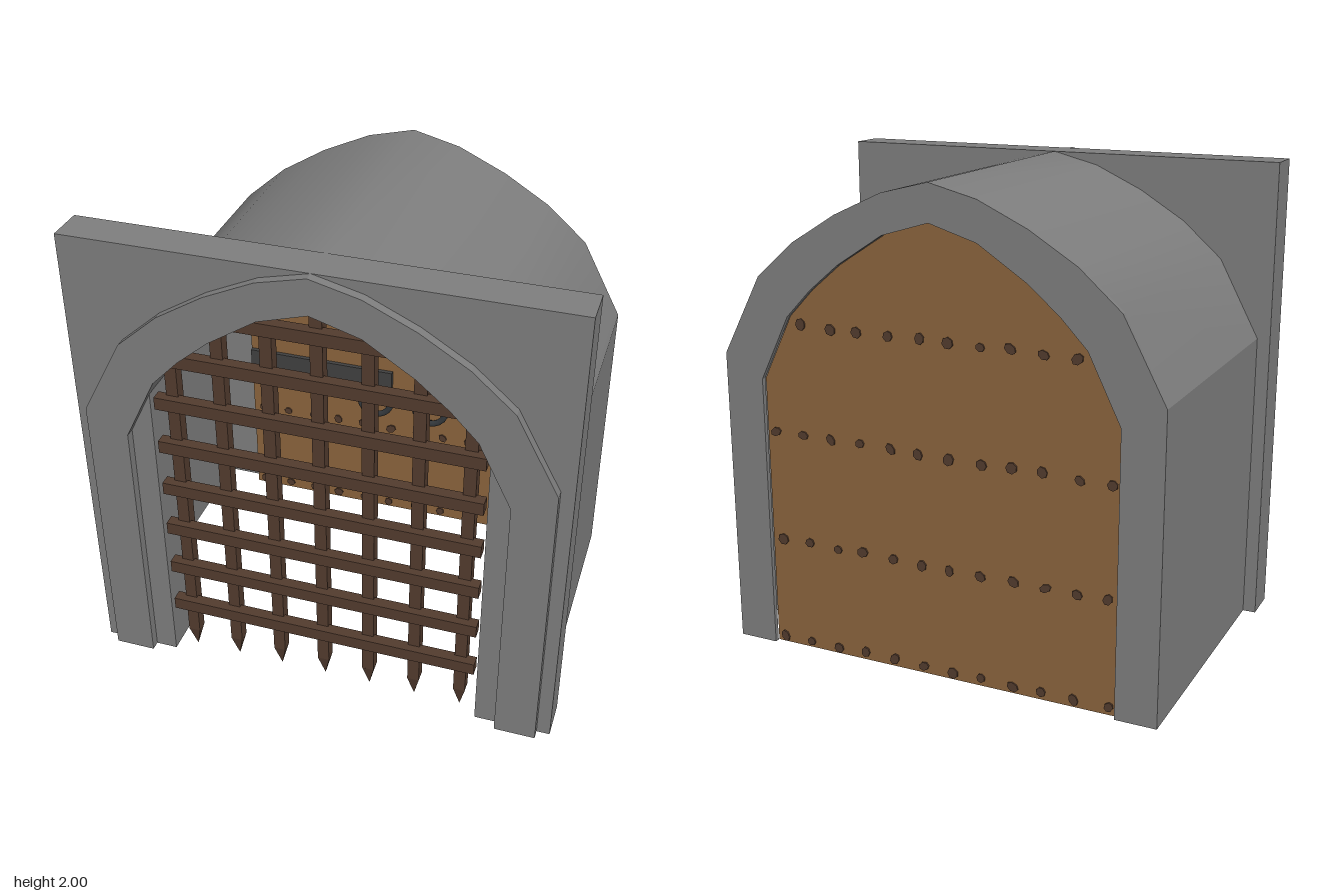
import * as THREE from 'three';

// Right half of the pointed arches, from spring line to apex
const OUTER = [[0.945, 1.257], [0.77, 1.585], [0.6, 1.735], [0.405, 1.855], [0.2, 1.95], [0, 2]];
const INNER = [[0.773, 1.165], [0.64, 1.435], [0.53, 1.55], [0.4, 1.66], [0.2, 1.79], [0, 1.85]];
const JAMB = [[0.68, 1.355], ...INNER.slice(1)];

const mirrorArch = (half) => [...half, ...half.slice(0, -1).reverse().map(([x, y]) => [-x, y])];
const closed = (half) => [[half[0][0], 0], ...mirrorArch(half), [-half[0][0], 0]];
const toShape = (pts) => new THREE.Shape(pts.map(([x, y]) => new THREE.Vector2(x, y)));

export function createModel() {
  const group = new THREE.Group();
  const mat = (name, color, side = THREE.FrontSide) => {
    const m = new THREE.MeshStandardMaterial({ color, side });
    m.name = name;
    return m;
  };
  const stone = mat('stone', 0x7d7d7d, THREE.DoubleSide);
  const wood = mat('doorWood', 0x8a633c);
  const barWood = mat('darkWood', 0x523b2e);
  const iron = mat('iron', 0x404040);
  const ringIron = mat('ringIron', 0x33383c);

  const add = (name, geo, material, x = 0, y = 0, z = 0) => {
    const m = new THREE.Mesh(geo, material);
    m.name = name;
    m.position.set(x, y, z);
    group.add(m);
    return m;
  };
  const slab = (name, pts, z0, z1, material) =>
    add(name, new THREE.ExtrudeGeometry(toShape(pts), { depth: z1 - z0, bevelEnabled: false }), material, 0, 0, z0);

  // Stone front wall, raised arch trim and back rim, all open at the bottom
  const opening = (half) => closed(half).reverse();
  slab('frontWall', [[-1, 0], [-1, 2], [1, 2], [1, 0], ...closed(JAMB)], 0.48, 0.64, stone);
  slab('frontArchTrim', [...closed(OUTER), ...opening(INNER)], 0.62, 0.68, stone);
  slab('backArchRim', [...closed(OUTER), ...opening(INNER)], -0.68, -0.66, stone);

  // Thin vault shell: smooth arch over two flat side walls
  const sheet = (name, pts) => {
    const pos = [], idx = [];
    pts.forEach(([x, y], i) => {
      pos.push(x, y, 0.5, x, y, -0.68);
      if (i) {
        const a = 2 * i - 2;
        idx.push(a, a + 1, a + 2, a + 1, a + 3, a + 2);
      }
    });
    const g = new THREE.BufferGeometry();
    g.setAttribute('position', new THREE.Float32BufferAttribute(pos, 3));
    g.setIndex(idx);
    g.computeVertexNormals();
    add(name, g, stone);
  };
  const [sideX, springY] = OUTER[0];
  sheet('vault', mirrorArch(OUTER));
  sheet('leftWall', [[sideX, 0], [sideX, springY]]);
  sheet('rightWall', [[-sideX, springY], [-sideX, 0]]);

  // Wooden door closing the back of the passage
  slab('door', closed(INNER), -0.655, -0.61, wood);

  // Flat, slightly irregular nail heads on both faces of the door
  let seed = 7;
  const rand = () => (seed = (seed * 16807) % 2147483647) / 2147483647;
  for (const y of [0.03, 0.475, 0.94, 1.4]) {
    for (let i = 0; i < 12; i++) {
      const x = (i - 5.5) * 0.133;
      if (y > 1.3 && Math.abs(x) > 0.62) continue;
      for (const z of [-0.655, -0.61]) {
        const disc = new THREE.CylinderGeometry(0.022, 0.022, 0.014, 7).rotateX(Math.PI / 2);
        const nail = add('doorNail', disc, barWood, x + (rand() - 0.5) * 0.02, y + (rand() - 0.5) * 0.012, z);
        nail.scale.set(0.85 + rand() * 0.35, 0.75 + rand() * 0.35, 1);
        nail.rotation.z = rand() * 3;
      }
    }
  }

  // Iron straps and pull rings on the inner face of the door
  for (const s of [-1, 1]) {
    add('doorStrap', new THREE.BoxGeometry(0.71, 0.13, 0.02), iron, s * 0.415, 0.742, -0.6);
    add('pullRing', new THREE.TorusGeometry(0.075, 0.015, 8, 20), ringIron, s * 0.135, 0.65, -0.575);
  }

  // Portcullis uprights with pointed feet, tops set into the stone
  const tops = [1.86, 1.82, 1.69, 1.52];
  for (let i = -3; i <= 3; i++) {
    const top = tops[Math.abs(i)];
    add('portcullisUpright', new THREE.BoxGeometry(0.05, top - 0.1, 0.05), barWood, i * 0.2, (top + 0.1) / 2, 0.58);
    const spike = new THREE.CylinderGeometry(0.0354, 0.001, 0.1, 4).rotateY(Math.PI / 4).toNonIndexed();
    spike.computeVertexNormals();
    add('portcullisSpike', spike, barWood, i * 0.2, 0.05, 0.58);
  }

  // Portcullis crossbars, the upper ones shorter and set into the arch
  for (let i = 0; i < 8; i++) {
    const half = i < 6 ? 0.665 : i === 6 ? 0.6 : 0.34;
    add('portcullisCrossbar', new THREE.BoxGeometry(half * 2, 0.055, 0.048), barWood, 0, 0.267 + i * 0.209, 0.614);
  }
  return group;
}
